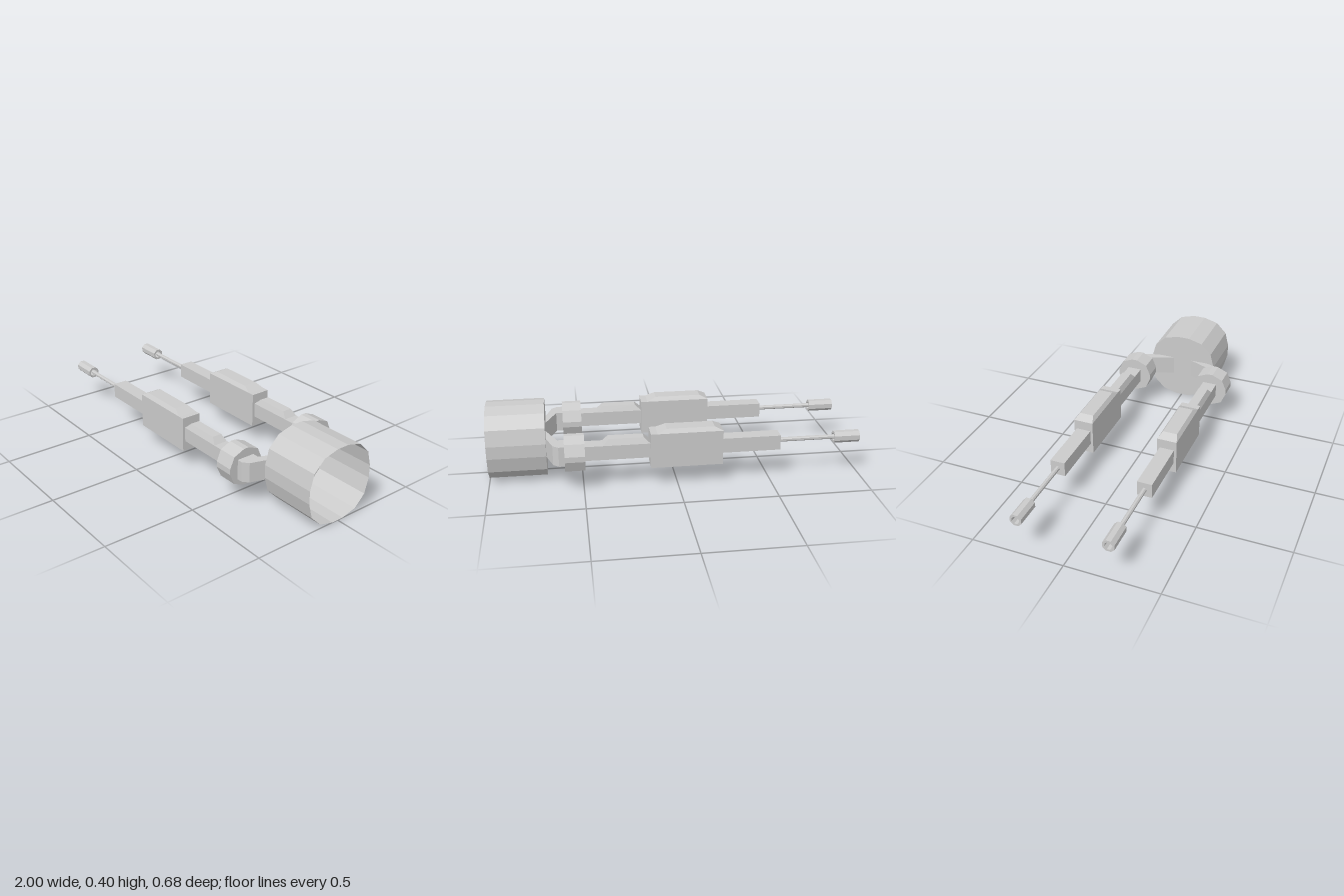
import * as THREE from 'three';

const material = new THREE.MeshStandardMaterial({ color: 0xcccccc, flatShading: true });
const thinMaterial = new THREE.MeshStandardMaterial({ color: 0xcccccc, flatShading: true, side: THREE.DoubleSide });

function add(parent, name, geometry, mat = material) {
  const mesh = new THREE.Mesh(geometry, mat);
  mesh.name = name;
  parent.add(mesh);
  return mesh;
}

// Closed polygon made by turning one quarter of its corners four times
function polygon(quarter) {
  const points = [];
  for (let q = 0; q < 4; q++) {
    for (const [x, y] of quarter) {
      points.push(new THREE.Vector2(x, y).rotateAround(new THREE.Vector2(), q * Math.PI / 2));
    }
  }
  return points;
}

// Prism along x from x0 to x1, centred on (y, z)
function prism(points, x0, x1, y, z, hole) {
  const shape = new THREE.Shape(points);
  if (hole) shape.holes.push(new THREE.Path(hole));
  return new THREE.ExtrudeGeometry(shape, { depth: x1 - x0, bevelEnabled: false })
    .rotateY(Math.PI / 2).translate(x0, y, z);
}

function block(x0, x1, y0, y1, z, width) {
  return new THREE.BoxGeometry(x1 - x0, y1 - y0, width)
    .translate((x0 + x1) / 2, (y0 + y1) / 2, z);
}

// Block whose top is drawn in: by "back" at -x, "front" at +x, "side" at both sides
function ridge(x0, x1, y0, y1, z, width, back, front, side) {
  const geometry = block(x0, x1, y0, y1, z, width);
  const p = geometry.attributes.position;
  const middle = (x0 + x1) / 2;
  for (let i = 0; i < p.count; i++) {
    if (p.getY(i) < (y0 + y1) / 2) continue;
    p.setX(i, p.getX(i) + (p.getX(i) < middle ? back : -front));
    p.setZ(i, p.getZ(i) + (p.getZ(i) < z ? side : -side));
  }
  geometry.computeVertexNormals();
  return geometry;
}

// Open cup: a faceted wall with a closed inner end
function cup(parent) {
  const x0 = 0.69, x1 = 1, y = 0.2;
  const points = polygon([[0.2, 0.035], [0.178, 0.118], [0.118, 0.178], [0.035, 0.2]]);
  const positions = [], indices = [], n = points.length;
  for (const x of [x0, x1]) for (const p of points) positions.push(x, p.y + y, -p.x);
  for (let i = 0; i < n; i++) {
    const j = (i + 1) % n;
    indices.push(i, j, n + j, i, n + j, n + i);
  }
  const wall = new THREE.BufferGeometry();
  wall.setAttribute('position', new THREE.Float32BufferAttribute(positions, 3));
  wall.setIndex(indices);
  wall.computeVertexNormals();
  add(parent, 'cupWall', wall, thinMaterial);

  const base = new THREE.ShapeGeometry(new THREE.Shape(points))
    .rotateY(Math.PI / 2).translate(x0, y, 0);
  add(parent, 'cupBase', base, thinMaterial);
}

function gun(side) {
  const group = new THREE.Group();
  const z = 0.24 * side;

  // Receiver and its chamfered top
  add(group, 'receiver', block(-0.24, 0.145, 0.107, 0.298, z, 0.108));
  add(group, 'receiverTop', ridge(-0.24, 0.11, 0.298, 0.32, z, 0.108, 0.045, 0.05, 0.015));

  // Rear arm with its raised cover
  add(group, 'rearArm', block(0.145, 0.5, 0.163, 0.242, z, 0.08));
  add(group, 'rearCover', ridge(0.145, 0.395, 0.242, 0.275, z, 0.08, 0.035, 0.03, 0.014));

  // Barrel shroud, barrel and hollow muzzle
  add(group, 'barrelShroud', block(-0.555, -0.24, 0.165, 0.246, z, 0.08));
  add(group, 'barrel', prism(polygon([[0.011, 0.005], [0.005, 0.011]]), -0.87, -0.555, 0.206, z));
  const outer = polygon([[0.031, 0.013], [0.013, 0.031]]);
  const bore = polygon([[0.02, 0.008], [0.008, 0.02]]);
  add(group, 'muzzle', prism(outer, -1, -0.86, 0.205, z, bore));

  // Round joint
  const joint = polygon([[0.1, 0.015], [0.074, 0.075], [0.015, 0.1]]);
  add(group, 'joint', prism(joint, 0.49, 0.595, 0.2, z));

  // Bent bracket that leads in to the cup
  const outline = [[0.59, 0.293], [0.625, 0.293], [0.655, 0.268], [0.695, 0.142],
    [0.695, 0.045], [0.63, 0.195], [0.59, 0.195]];
  const shape = new THREE.Shape(outline.map(([x, w]) => new THREE.Vector2(x, w * side)));
  const bracket = new THREE.ExtrudeGeometry(shape, { depth: 0.108, bevelEnabled: false })
    .rotateX(Math.PI / 2).translate(0, 0.253, 0);
  add(group, 'bracket', bracket);
  return group;
}

export function createModel() {
  const model = new THREE.Group();
  model.name = 'twinGun';

  const mount = new THREE.Group();
  mount.name = 'cup';
  cup(mount);
  model.add(mount);

  for (const side of [1, -1]) {
    const group = gun(side);
    group.name = side > 0 ? 'frontGun' : 'backGun';
    model.add(group);
  }
  return model;
}
